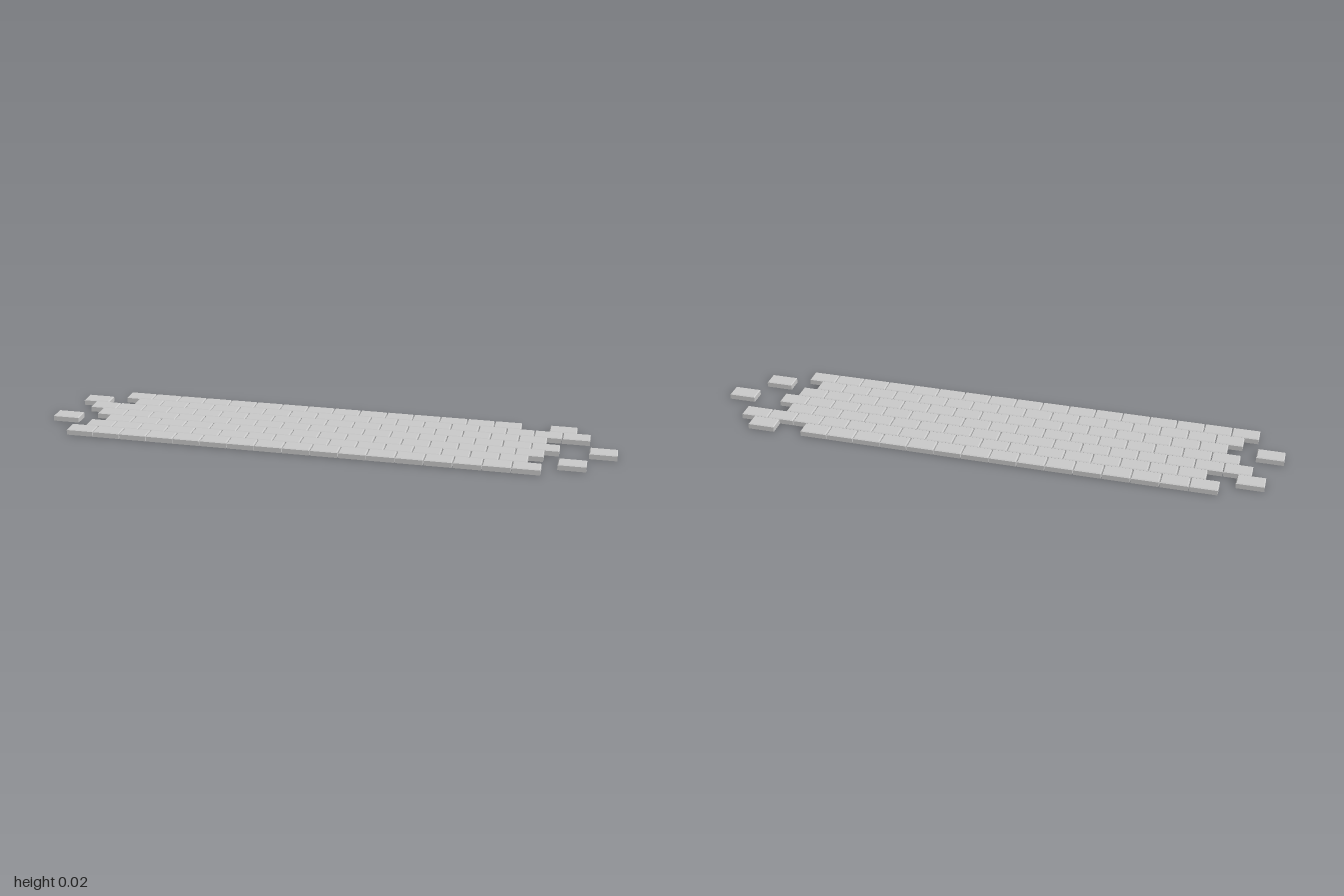
import * as THREE from 'three';

const PITCH_X = 0.0977, PITCH_Z = 0.0586;
const WIDTH = 0.0949, DEPTH = 0.0564, HEIGHT = 0.0205, BEVEL = 0.003;

// Brick resting on y = 0 with a small chamfer around its top face
function brickGeometry() {
  const box = new THREE.BoxGeometry(WIDTH, HEIGHT, DEPTH, 1, 2, 1);
  const p = box.attributes.position;
  for (let i = 0; i < p.count; i++) {
    const y = p.getY(i);
    if (y > 0.001) {
      p.setXYZ(i, p.getX(i) - Math.sign(p.getX(i)) * BEVEL, HEIGHT, p.getZ(i) - Math.sign(p.getZ(i)) * BEVEL);
    } else {
      p.setY(i, y < -0.001 ? 0 : HEIGHT - BEVEL);
    }
  }
  const geometry = box.toNonIndexed();
  geometry.computeVertexNormals();
  return geometry;
}

export function createModel() {
  const model = new THREE.Group();
  model.name = 'brickPath';
  const material = new THREE.MeshStandardMaterial({ color: 0xcccccc, flatShading: true });
  const geometry = brickGeometry();

  // Rows from back to front: start in half bricks, length of the run, and a loose brick's slot
  const rows = [
    { start: 4, count: 15, loose: 16 },
    { start: 5, count: 17, loose: -2 },
    { start: 2, count: 17 },
    { start: 3, count: 17, loose: 18 },
    { start: 4, count: 16, loose: -2 },
    { start: 3, count: 16, loose: 17 },
    { start: 2, count: 17 },
  ];

  rows.forEach(({ start, count, loose }, r) => {
    const row = new THREE.Group();
    row.name = `brickRow${r + 1}`;
    row.position.z = (r - 3) * PITCH_Z;
    const addBrick = (slot, name) => {
      const brick = new THREE.Mesh(geometry, material);
      brick.name = name;
      brick.position.x = -1 + WIDTH / 2 + (start / 2 + slot) * PITCH_X;
      row.add(brick);
    };
    for (let i = 0; i < count; i++) addBrick(i, 'brick');
    if (loose !== undefined) addBrick(loose, 'looseBrick');
    model.add(row);
  });
  return model;
}
